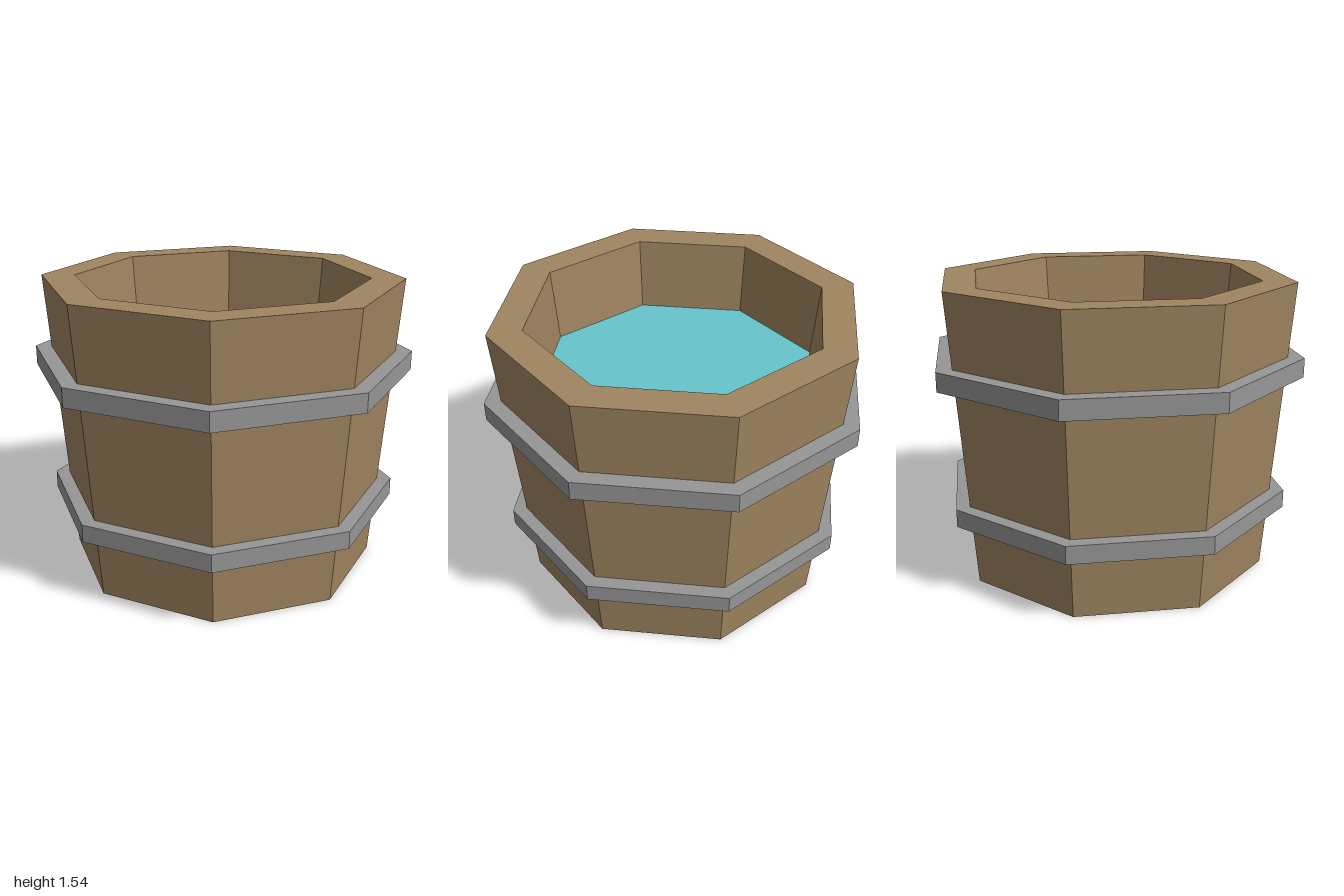
import * as THREE from 'three';

const SIDES = 8;

// Eight-sided solid of revolution from [radius, height] pairs
function turned(name, profile, color) {
  const points = profile.map(([r, y]) => new THREE.Vector2(r, y));
  const mesh = new THREE.Mesh(
    new THREE.LatheGeometry(points, SIDES),
    new THREE.MeshStandardMaterial({ color, flatShading: true })
  );
  mesh.name = name;
  return mesh;
}

// Flat-sided hoop: outer face, top, inner face, underside
function hoop(name, outer, inner, y0, y1) {
  return turned(name, [[inner, y0], [outer, y0], [outer, y1], [inner, y1], [inner, y0]], 0x969696);
}

export function createModel() {
  const bucket = new THREE.Group();
  bucket.name = 'bucket';

  // Tapered wooden wall with rim, hollow inside and floor
  bucket.add(turned('woodenTub', [
    [0, 0], [0.825, 0], [0.945, 1.545], [0.77, 1.545], [0.65, 0.12], [0, 0.12],
  ], 0xa08560));

  // Metal hoops
  bucket.add(hoop('lowerHoop', 0.933, 0.8, 0.335, 0.43));
  bucket.add(hoop('upperHoop', 1, 0.86, 1.06, 1.16));

  // Water surface, its corners lined up with the wall's
  const water = new THREE.Mesh(
    new THREE.CircleGeometry(0.737, SIDES).rotateX(-Math.PI / 2),
    new THREE.MeshStandardMaterial({ color: 0x66c5cc, flatShading: true })
  );
  water.name = 'water';
  water.position.y = 1.16;
  bucket.add(water);

  return bucket;
}
